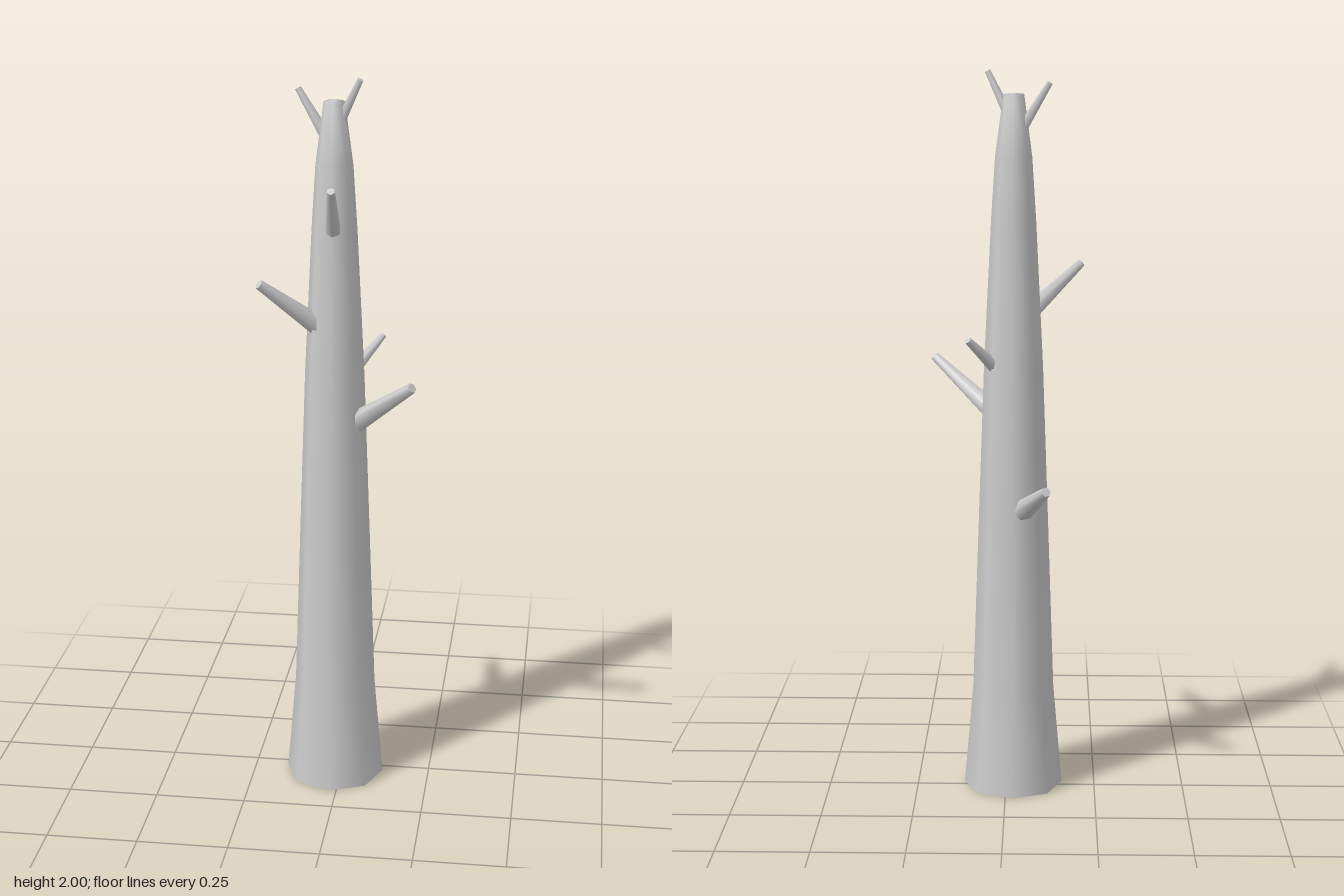
import * as THREE from 'three';

const material = new THREE.MeshStandardMaterial({ color: 0xcccccc });

// Tapered branch stub running from a base point on the trunk to a tip point
function makeBranch([from, to, baseRadius, tipRadius]) {
  const tip = new THREE.Vector3(...to);
  const dir = tip.clone().sub(new THREE.Vector3(...from)).normalize();
  const base = new THREE.Vector3(...from).addScaledVector(dir, -0.02); // sink into the bark
  const length = base.distanceTo(tip);
  const geometry = new THREE.CylinderGeometry(tipRadius, baseRadius, length, 6);
  geometry.translate(0, length / 2, 0);
  const mesh = new THREE.Mesh(geometry, material);
  mesh.position.copy(base);
  mesh.quaternion.setFromUnitVectors(new THREE.Vector3(0, 1, 0), dir);
  return mesh;
}

export function createModel() {
  const tree = new THREE.Group();
  tree.name = 'deadTree';

  // Eight-sided trunk, flared at the foot and narrowing to a blunt top
  const profile = [
    [0.138, 0], [0.113, 0.29], [0.097, 0.75], [0.081, 1.2],
    [0.061, 1.6], [0.05, 1.77], [0.028, 1.935], [0, 1.938],
  ].map(([r, y]) => new THREE.Vector2(r, y));
  const trunk = new THREE.Mesh(new THREE.LatheGeometry(profile, 8), material);
  trunk.name = 'trunk';
  trunk.position.set(-0.02, 0, 0.025);
  tree.add(trunk);

  // Flat underside
  const underside = new THREE.Mesh(new THREE.CircleGeometry(0.138, 8), material);
  underside.name = 'trunkUnderside';
  underside.rotation.x = Math.PI / 2;
  underside.position.copy(trunk.position);
  tree.add(underside);

  // Branch stubs: base point, tip point, base radius, tip radius
  const branches = {
    frontLeftBranch: [[0.05, 1.08, 0.055], [0.202, 1.207, 0.148], 0.03, 0.014],
    frontRightBranch: [[-0.07, 1.35, 0.06], [-0.205, 1.472, 0.138], 0.028, 0.013],
    frontBranch: [[-0.016, 1.62, 0.085], [-0.009, 1.732, 0.177], 0.021, 0.011],
    backRightBranch: [[-0.055, 0.82, -0.065], [-0.111, 0.892, -0.184], 0.03, 0.014],
    backLeftBranch: [[0.04, 1.215, -0.023], [0.101, 1.284, -0.074], 0.019, 0.01],
    topRightTwig: [[-0.053, 1.86, 0.02], [-0.117, 1.965, 0.009], 0.016, 0.009],
    topLeftTwig: [[0.004, 1.9, 0.028], [0.05, 1.995, 0.041], 0.015, 0.009],
  };
  for (const [name, spec] of Object.entries(branches)) {
    const branch = makeBranch(spec);
    branch.name = name;
    tree.add(branch);
  }
  return tree;
}
